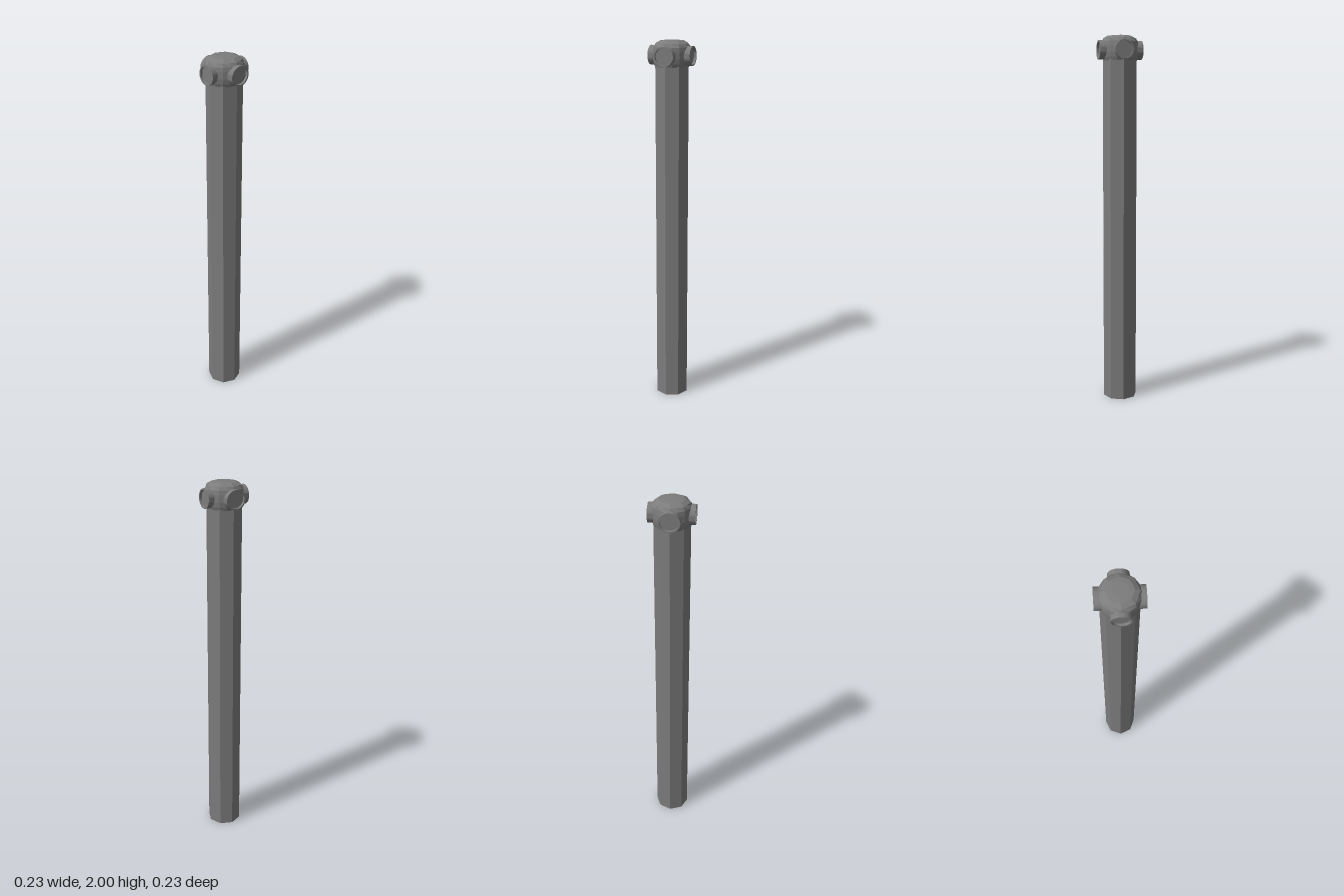
import * as THREE from 'three';
import { toCreasedNormals } from 'three/addons/utils/BufferGeometryUtils.js';

const color = 0x7c7c7c;
const faceted = new THREE.MeshStandardMaterial({ color, flatShading: true });
const smooth = new THREE.MeshStandardMaterial({ color, side: THREE.DoubleSide });

function add(parent, name, geometry, material) {
  const mesh = new THREE.Mesh(geometry, material);
  mesh.name = name;
  parent.add(mesh);
}

const lathe = (points, sides) =>
  new THREE.LatheGeometry(points.map(([r, y]) => new THREE.Vector2(r, y)), sides);

// Head: a 16-sided belt whose crown rings narrow to octagons
function createHeadGeometry() {
  const profile = [
    [0, 1.868], [0.09, 1.868], [0.096, 1.885], [0.1, 1.91], [0.1, 1.945],
    [0.097, 1.967], [0.09, 1.984], [0.066, 1.997], [0.04, 2], [0, 2],
  ];
  const geometry = lathe(profile, 16);
  const position = geometry.attributes.position;
  for (let i = 0; i < position.count; i++) {
    const isOddColumn = Math.floor(i / profile.length) % 2 === 1;
    if (isOddColumn && position.getY(i) > 1.98) {
      const pull = Math.cos(Math.PI / 8);
      position.setX(i, position.getX(i) * pull);
      position.setZ(i, position.getZ(i) * pull);
    }
  }
  return geometry;
}

// Short round socket pointing along +z, with a thin rim and a recessed disc
function createPort(halfWidth) {
  const port = new THREE.Group();
  port.name = 'port';
  const rim = lathe([[0.05, 0.06], [0.05, 0.117], [0.043, 0.117], [0.043, 0.104]], 32);
  rim.rotateX(Math.PI / 2);
  add(port, 'portRim', toCreasedNormals(rim, Math.PI / 6), smooth);
  add(port, 'portDisc', new THREE.CircleGeometry(0.043, 32).translate(0, 0, 0.104), smooth);
  port.scale.x = halfWidth / 0.05;
  return port;
}

export function createModel() {
  const model = new THREE.Group();
  model.name = 'post';

  // Octagonal shaft with corners on the axes
  add(model, 'shaft', new THREE.CylinderGeometry(0.093, 0.093, 1.88, 8).translate(0, 0.94, 0), faceted);
  add(model, 'head', createHeadGeometry(), faceted);

  // Four ports around the head
  for (let i = 0; i < 4; i++) {
    const port = createPort(i % 2 ? 0.05 : 0.054);
    port.position.y = 1.923;
    port.rotation.y = (i * Math.PI) / 2;
    model.add(port);
  }
  return model;
}
